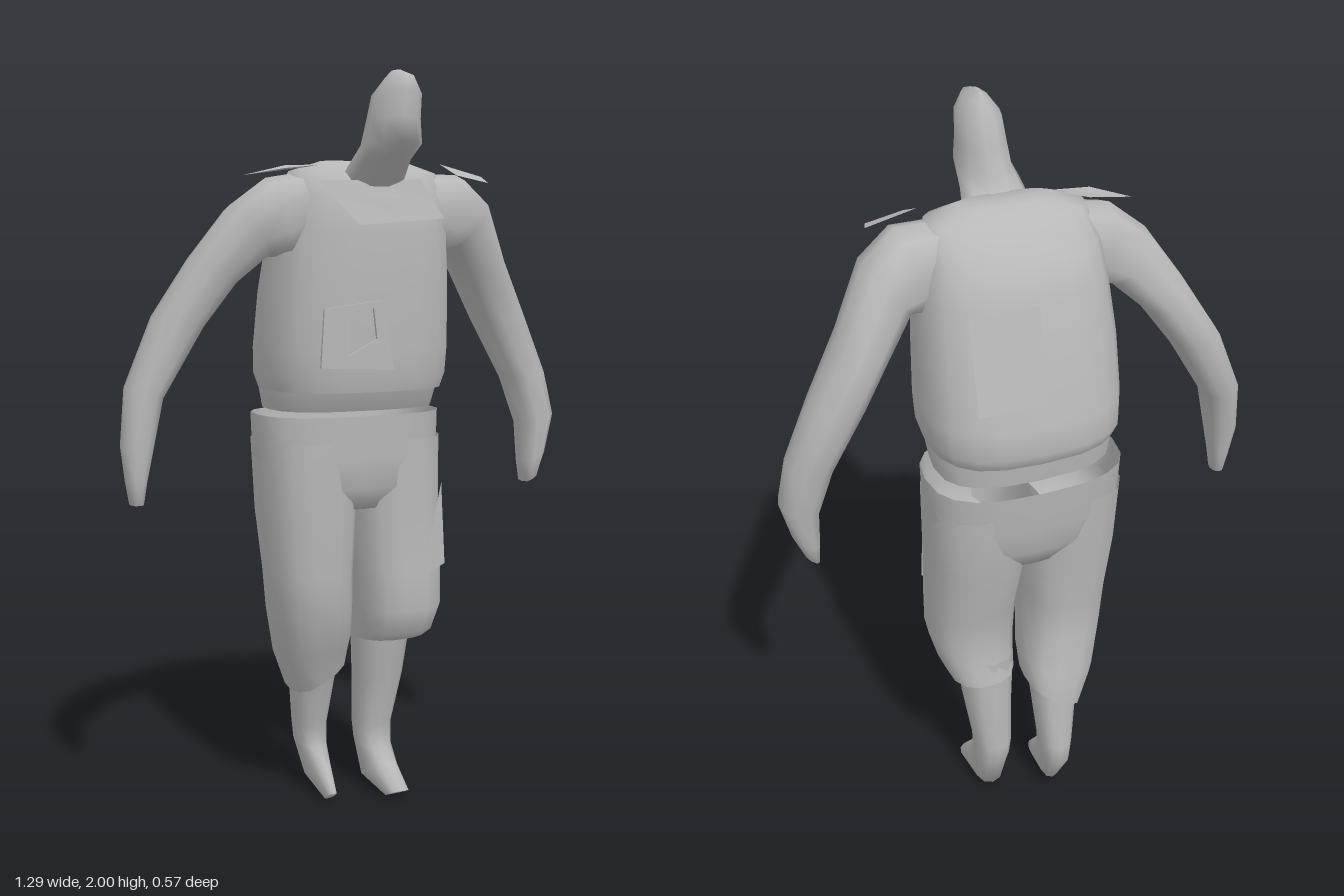
import * as THREE from 'three';

const clay = new THREE.MeshStandardMaterial({ color: 0xb8b8b8, side: THREE.DoubleSide });
clay.name = 'clay grey';

// Cross-section spanning (x0,y0)-(x1,y1) and z0..z1; lift raises the front and lowers the back
const ring = (x0, y0, x1, y1, z0, z1, lift = 0) => ({ x0, y0, x1, y1, z0, z1, lift });
// Level cross-section
const level = (y, x0, x1, z0, z1, lift = 0) => ring(x0, y, x1, y, z0, z1, lift);

// Skin a list of cross-sections, ordered from top to bottom
function loft(name, rings, { sides = 14, power = 2.4, top = false, bottom = false } = {}) {
  const pos = [], idx = [];
  const bend = (v) => Math.sign(v) * Math.pow(Math.abs(v), 2 / power);
  for (const r of rings) {
    for (let j = 0; j < sides; j++) {
      const a = (j / sides) * Math.PI * 2;
      const u = bend(Math.cos(a)), v = bend(Math.sin(a));
      pos.push(
        (r.x0 + r.x1) / 2 + (u * (r.x1 - r.x0)) / 2,
        (r.y0 + r.y1) / 2 + (u * (r.y1 - r.y0)) / 2 + v * r.lift,
        (r.z0 + r.z1) / 2 + (v * (r.z1 - r.z0)) / 2
      );
    }
  }
  for (let i = 0; i < rings.length - 1; i++) {
    for (let j = 0; j < sides; j++) {
      const a = i * sides + j, b = i * sides + ((j + 1) % sides);
      idx.push(a, b, a + sides, b, b + sides, a + sides);
    }
  }
  const cap = (i, up) => {
    const r = rings[i], c = pos.length / 3;
    pos.push((r.x0 + r.x1) / 2, (r.y0 + r.y1) / 2, (r.z0 + r.z1) / 2);
    for (let j = 0; j < sides; j++) {
      const a = i * sides + j, b = i * sides + ((j + 1) % sides);
      if (up) idx.push(c, b, a);
      else idx.push(c, a, b);
    }
  };
  if (top) cap(0, true);
  if (bottom) cap(rings.length - 1, false);
  return finish(name, pos, idx);
}

// Flat cloth patch from three or four corners
function patch(name, corners) {
  const idx = corners.length === 4 ? [0, 1, 2, 0, 2, 3] : [0, 1, 2];
  return finish(name, corners.flat(), idx);
}

function finish(name, pos, idx) {
  const g = new THREE.BufferGeometry();
  g.setAttribute('position', new THREE.Float32BufferAttribute(pos, 3));
  g.setIndex(idx);
  g.computeVertexNormals();
  const mesh = new THREE.Mesh(g, clay);
  mesh.name = name;
  return mesh;
}

export function createModel() {
  const model = new THREE.Group();
  model.name = 'figure';

  // Head leaning forward on its neck
  model.add(loft('head', [
    level(2.0, 0.0, 0.015, 0.165, 0.21),
    level(1.98, -0.025, 0.035, 0.15, 0.275),
    level(1.94, -0.055, 0.06, 0.115, 0.29),
    level(1.88, -0.062, 0.065, 0.095, 0.28),
    level(1.82, -0.07, 0.072, 0.07, 0.285),
    level(1.785, -0.08, 0.08, 0.05, 0.2),
    level(1.7, -0.1, 0.1, -0.03, 0.1)
  ], { sides: 10, power: 1.8, top: true }));

  // Shirt and the waist showing under it
  model.add(loft('shirt', [
    level(1.785, -0.12, 0.13, -0.03, 0.06),
    level(1.76, -0.2, 0.21, -0.075, 0.095),
    level(1.69, -0.22, 0.235, -0.155, 0.13),
    level(1.6, -0.235, 0.25, -0.19, 0.14),
    level(1.45, -0.25, 0.262, -0.235, 0.14),
    level(1.3, -0.255, 0.268, -0.27, 0.135),
    level(1.23, -0.25, 0.265, -0.283, 0.13),
    level(1.19, -0.24, 0.25, -0.26, 0.12)
  ], { power: 2.7, sides: 20, top: true }));
  model.add(loft('waist', [
    level(1.23, -0.235, 0.25, -0.26, 0.1),
    level(1.18, -0.235, 0.25, -0.255, 0.085),
    level(1.135, -0.225, 0.245, -0.25, 0.06)
  ], { power: 2.7, sides: 20 }));

  // Arms hanging outwards, elbows back
  model.add(loft('leftArm', [
    ring(0.14, 1.58, 0.16, 1.76, -0.08, 0.09),
    ring(0.22, 1.54, 0.29, 1.76, -0.09, 0.1),
    ring(0.27, 1.56, 0.38, 1.69, -0.11, 0.08),
    ring(0.34, 1.47, 0.46, 1.53, -0.14, 0.04),
    ring(0.41, 1.36, 0.55, 1.38, -0.155, 0.0),
    ring(0.5, 1.19, 0.62, 1.21, -0.13, 0.0),
    ring(0.54, 1.06, 0.642, 1.09, -0.105, 0.01),
    ring(0.545, 0.95, 0.615, 0.98, -0.09, 0.005),
    ring(0.55, 0.89, 0.59, 0.92, -0.075, 0.0)
  ], { sides: 10, bottom: true }));
  model.add(loft('rightArm', [
    ring(-0.15, 1.76, -0.14, 1.58, -0.08, 0.09),
    ring(-0.27, 1.74, -0.21, 1.54, -0.08, 0.09),
    ring(-0.36, 1.67, -0.26, 1.54, -0.11, 0.07),
    ring(-0.45, 1.54, -0.34, 1.47, -0.15, 0.03),
    ring(-0.545, 1.39, -0.42, 1.36, -0.17, 0.0),
    ring(-0.625, 1.21, -0.53, 1.18, -0.145, -0.02),
    ring(-0.643, 1.06, -0.56, 1.05, -0.12, -0.025),
    ring(-0.635, 0.97, -0.58, 0.97, -0.1, -0.03),
    ring(-0.625, 0.91, -0.59, 0.91, -0.09, -0.04)
  ], { sides: 10, bottom: true }));

  // Trousers: hips and two legs
  model.add(loft('trouserHips', [
    level(1.12, -0.25, 0.275, -0.288, 0.058),
    level(1.0, -0.248, 0.272, -0.275, 0.052),
    level(0.92, -0.23, 0.255, -0.262, 0.045),
    level(0.86, -0.12, 0.14, -0.23, 0.01)
  ], { power: 2.7, sides: 20, bottom: true }));
  model.add(loft('leftTrouserLeg', [
    level(1.05, 0.0, 0.272, -0.27, 0.05),
    level(0.85, 0.017, 0.272, -0.255, 0.045),
    level(0.68, 0.03, 0.27, -0.205, 0.05),
    level(0.57, 0.035, 0.268, -0.2, 0.057),
    level(0.5, 0.04, 0.25, -0.21, 0.035),
    level(0.465, 0.045, 0.235, -0.22, 0.0, 0.01)
  ], { power: 2.6 }));
  model.add(loft('rightTrouserLeg', [
    level(1.05, -0.248, 0.0, -0.27, 0.05),
    level(0.85, -0.242, 0.012, -0.255, 0.045),
    level(0.68, -0.225, 0.005, -0.235, 0.03),
    level(0.57, -0.215, 0.005, -0.235, 0.025),
    ring(-0.18, 0.43, 0.022, 0.48, -0.262, -0.03),
    ring(-0.135, 0.32, 0.02, 0.41, -0.27, -0.07)
  ], { power: 2.6 }));

  // Shins running down into forward-pointing feet
  model.add(loft('leftShinAndFoot', [
    level(0.52, 0.045, 0.205, -0.21, -0.02),
    level(0.35, 0.055, 0.19, -0.21, -0.055),
    level(0.2, 0.063, 0.17, -0.217, -0.095),
    level(0.14, 0.068, 0.165, -0.215, -0.085, -0.01),
    level(0.06, 0.075, 0.165, -0.175, -0.045, 0.035),
    level(0.018, 0.095, 0.165, -0.04, 0.005, 0.012)
  ], { sides: 12, bottom: true }));
  model.add(loft('rightShinAndFoot', [
    level(0.42, -0.13, 0.0, -0.255, -0.09),
    level(0.35, -0.122, 0.0, -0.262, -0.11),
    level(0.2, -0.1, -0.008, -0.282, -0.16),
    level(0.14, -0.092, -0.01, -0.288, -0.155, -0.005),
    level(0.065, -0.08, -0.02, -0.23, -0.11, 0.03),
    level(0.018, -0.067, -0.035, -0.1, -0.06, 0.015)
  ], { sides: 12, bottom: true }));

  // Cloth patches
  model.add(
    patch('chestPanel', [[-0.17, 1.73, 0.115], [-0.07, 1.62, 0.146], [0.18, 1.64, 0.138], [0.12, 1.74, 0.115]]),
    patch('backPatch', [[0, 1.6, -0.203], [0.18, 1.6, -0.203], [0.18, 1.36, -0.262], [0, 1.36, -0.262]]),
    patch('thighPatch', [[0.24, 0.92, 0.03], [0.17, 0.66, 0.05], [0.25, 0.69, 0.035]]),
    patch('leftShoulderFlap', [[0.22, 1.785, 0.04], [0.23, 1.752, 0.115], [0.33, 1.735, 0.11], [0.35, 1.755, 0.04]]),
    patch('rightShoulderFlap', [[-0.33, 1.745, 0], [-0.24, 1.762, 0.06], [-0.12, 1.775, 0.05], [-0.2, 1.775, -0.03]])
  );

  // Torn pocket frame on the front of the shirt
  const frame = new THREE.Shape([[-0.18, 1.26], [0.03, 1.25], [-0.01, 1.43], [-0.17, 1.41]].map((p) => new THREE.Vector2(...p)));
  frame.holes.push(new THREE.Path([[-0.1, 1.29], [-0.1, 1.4], [-0.03, 1.41], [-0.02, 1.33]].map((p) => new THREE.Vector2(...p))));
  const pocket = new THREE.Mesh(new THREE.ExtrudeGeometry(frame, { depth: 0.008, bevelEnabled: false }), clay);
  pocket.name = 'frontPocket';
  pocket.position.z = 0.138;
  model.add(pocket);

  return model;
}
